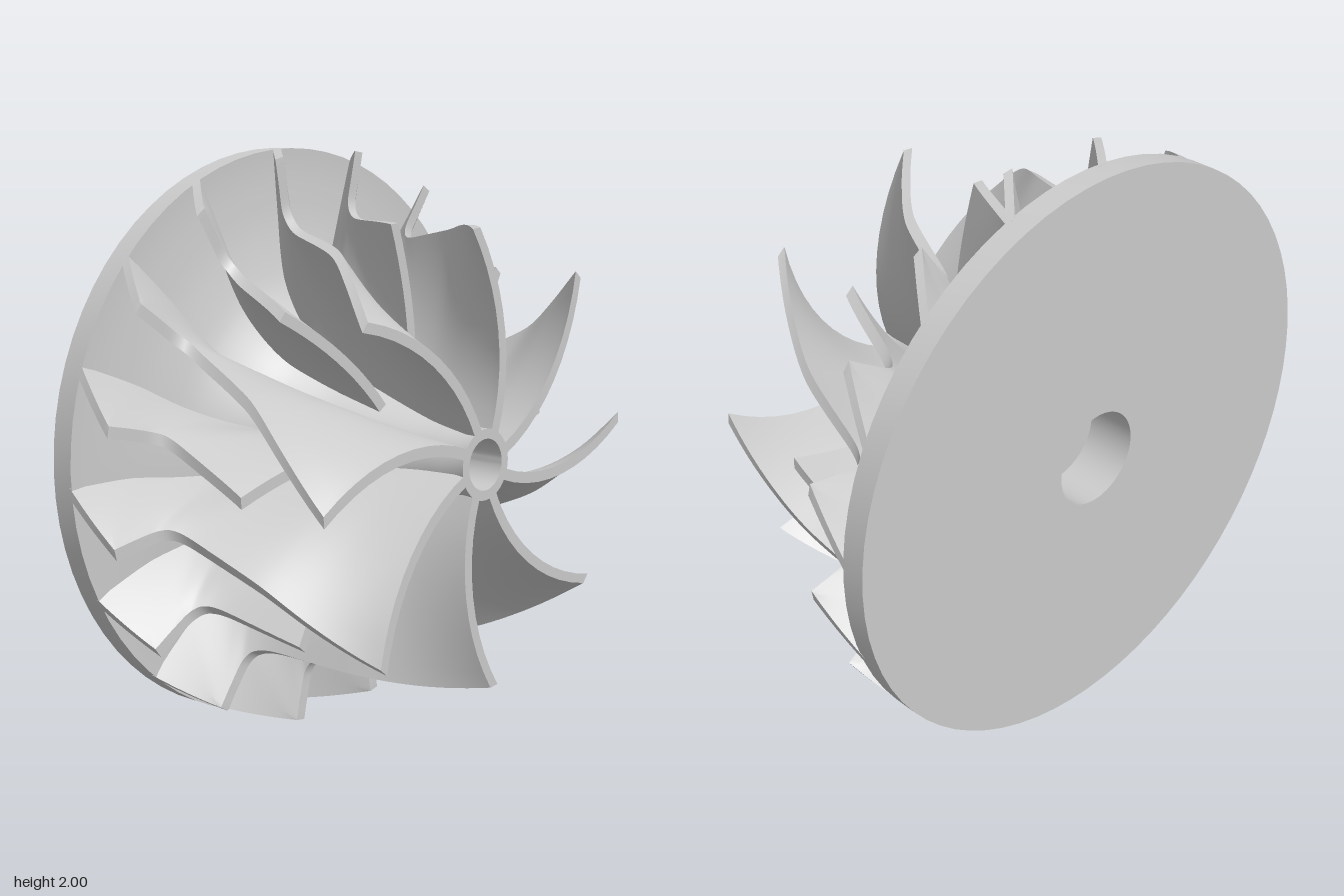
import * as THREE from 'three';
import { toCreasedNormals } from 'three/addons/utils/BufferGeometryUtils.js';

const material = new THREE.MeshStandardMaterial({ color: 0xcccccc });
const curve = (rows) => new THREE.CatmullRomCurve3(
  rows.map(([r, z, deg]) => new THREE.Vector3(r, z, deg)), false, 'catmullrom', 0.4);

// Stations along a blade from inlet to rim: radius, axial position, angle in degrees
const hubRows = [[0.11, 0.475, -25], [0.14, 0.3, -30], [0.195, 0.13, -33], [0.27, -0.05, -33.5],
  [0.36, -0.19, -33], [0.45, -0.27, -34.5], [0.57, -0.335, -37], [0.76, -0.38, -40.5], [1, -0.4, -41.6]];
const shroudRows = [[0.765, 0.475, 4.5], [0.765, 0.3, -8], [0.765, 0.13, -18.5], [0.765, -0.12, -27.2],
  [0.785, -0.19, -29.8], [0.83, -0.215, -30.6], [0.92, -0.217, -31.2], [1, -0.217, -31.5], [1, -0.222, -31.7]];
const midAngles = [-10, -17.5, -25, -31, -32.3, -33, -34.3, -36, -36.6];
const hubCurve = curve(hubRows);
const shroudCurve = curve(shroudRows);
const midCurve = curve(midAngles.map((a) => [0, 0, a]));

// Blade solid: a closed cross-section from hub to tip, swept through the stations
function bladeGeometry(start) {
  const steps = Math.round(48 * (1 - start));
  const span = 10;
  const halfThickness = 0.019;
  const rings = [];
  for (let i = 0; i <= steps; i++) {
    const t = start + (1 - start) * i / steps;
    const h = hubCurve.getPoint(t);
    const s = shroudCurve.getPoint(t);
    const m = midCurve.getPoint(t).z;
    const ring = [];
    for (let k = 0; k < 2 * (span + 1); k++) {
      const front = k <= span;
      const v = (front ? k : 2 * span + 1 - k) / span;
      const r = Math.min(1, h.x + (s.x - h.x) * v);
      const z = h.y + (s.y - h.y) * v;
      const deg = h.z * (1 - v) * (1 - 2 * v) + m * 4 * v * (1 - v) + s.z * v * (2 * v - 1);
      const a = THREE.MathUtils.degToRad(deg) + (front ? 1 : -1) * halfThickness / r;
      ring.push([r * Math.cos(a), r * Math.sin(a), z]);
    }
    rings.push(ring);
  }
  const positions = [];
  const quad = (a, b, c, d) => positions.push(...a, ...b, ...c, ...a, ...c, ...d);
  const n = 2 * (span + 1);
  for (let i = 0; i < steps; i++) {
    for (let k = 0; k < n; k++) {
      const l = (k + 1) % n;
      quad(rings[i][k], rings[i][l], rings[i + 1][l], rings[i + 1][k]);
    }
  }
  // Leading and trailing edges
  const first = rings[0];
  const last = rings[steps];
  for (let k = 0; k < span; k++) {
    const o = n - 1 - k;
    quad(first[o], first[o - 1], first[k + 1], first[k]);
    quad(last[k], last[k + 1], last[o - 1], last[o]);
  }
  const geometry = new THREE.BufferGeometry();
  geometry.setAttribute('position', new THREE.Float32BufferAttribute(positions, 3));
  return toCreasedNormals(geometry, 0.6);
}

export function createModel() {
  const model = new THREE.Group();
  const wheel = new THREE.Group();
  wheel.name = 'impellerWheel';
  wheel.position.y = 1;
  model.add(wheel);

  // Back disc, flared hub, through bore and rear counterbore as one turned body
  const flare = hubCurve.getPoints(32).slice(1, -1).reverse().map((p) => [p.x, Math.min(p.y + 0.004, 0.47)]);
  const profile = [[0.085, -0.3], [0.165, -0.3], [0.165, -0.475], [1, -0.475], [1, -0.39],
    ...flare, [0.118, 0.475], [0.085, 0.475], [0.085, -0.3]];
  const body = new THREE.LatheGeometry(profile.map(([r, y]) => new THREE.Vector2(r, y)), 72);
  body.rotateX(Math.PI / 2);
  const hub = new THREE.Mesh(toCreasedNormals(body, 0.6), material);
  hub.name = 'hubAndBackDisc';
  wheel.add(hub);

  // Eight full blades with a shorter splitter blade between each pair
  const full = bladeGeometry(0);
  const splitter = bladeGeometry(0.25);
  for (let i = 0; i < 8; i++) {
    const fullBlade = new THREE.Mesh(full, material);
    fullBlade.name = 'fullBlade';
    fullBlade.rotation.z = i * Math.PI / 4;
    const splitterBlade = new THREE.Mesh(splitter, material);
    splitterBlade.name = 'splitterBlade';
    splitterBlade.rotation.z = (i + 0.5) * Math.PI / 4;
    wheel.add(fullBlade, splitterBlade);
  }
  return model;
}
